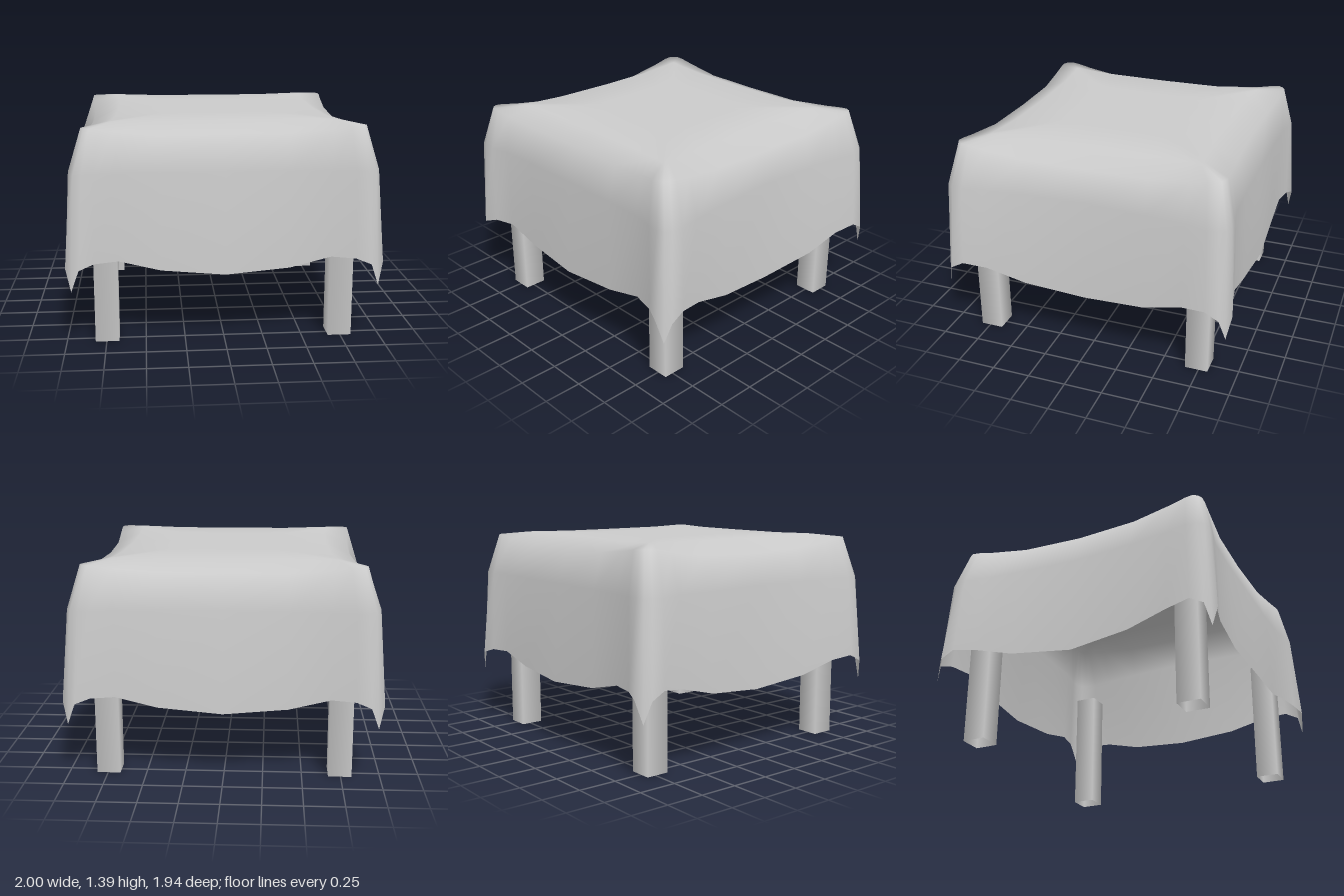
import * as THREE from 'three';

const grey = () => new THREE.MeshStandardMaterial({ color: 0xcccccc, side: THREE.DoubleSide });

// One quarter of each cloth ring: front middle, round the corner, to side middle [x, y, z]
const flat = [
  [0, 1.385, 0.66], [0.4, 1.385, 0.67], [0.63, 1.39, 0.69], [0.67, 1.39, 0.7], [0.69, 1.39, 0.7], [0.7, 1.39, 0.7],
  [0.7, 1.39, 0.69], [0.7, 1.39, 0.67], [0.69, 1.39, 0.63], [0.67, 1.385, 0.4], [0.66, 1.385, 0],
];
const edge = [
  [0, 1.325, 0.82], [0.4, 1.325, 0.83], [0.66, 1.35, 0.855], [0.77, 1.365, 0.865], [0.82, 1.37, 0.865], [0.85, 1.37, 0.85],
  [0.87, 1.37, 0.82], [0.87, 1.365, 0.77], [0.86, 1.345, 0.66], [0.84, 1.31, 0.4], [0.83, 1.3, 0],
];
const shoulder = [
  [0, 1.1, 0.88], [0.4, 1.1, 0.88], [0.66, 1.1, 0.89], [0.8, 1.1, 0.92], [0.87, 1.1, 0.925], [0.92, 1.1, 0.91],
  [0.945, 1.1, 0.87], [0.955, 1.1, 0.8], [0.93, 1.1, 0.66], [0.9, 1.1, 0.4], [0.88, 1.1, 0],
];
const hem = [
  [0, 0.46, 0.915], [0.4, 0.49, 0.895], [0.66, 0.555, 0.895], [0.81, 0.55, 0.93], [0.9, 0.52, 0.965], [0.95, 0.38, 0.945],
  [0.985, 0.52, 0.91], [0.985, 0.57, 0.82], [0.955, 0.55, 0.66], [0.935, 0.48, 0.4], [0.91, 0.44, 0],
];

// Mirror a quarter into a closed ring; the back hangs slightly wider
function fullRing(quarter, backShift) {
  const back = quarter.slice(0, -1).reverse().map(([x, y, z]) =>
    [x * (1 + 0.5 * backShift), y, -z - backShift * Math.min(1, (1 - x) / 0.3)]);
  const half = [...quarter, ...back];
  const other = half.slice(1, -1).reverse().map(([x, y, z]) => [-x, y, z]);
  return [...half, ...other];
}

function clothGeometry() {
  const inner = fullRing(flat, 0).map(([x, y, z]) => [x * 0.55, 1.39, z * 0.55]);
  const rings = [inner, fullRing(flat, 0), fullRing(edge, 0.01), fullRing(shoulder, 0.02), fullRing(hem, 0.03)];
  const n = inner.length;
  const points = [[0, 1.39, 0], ...rings.flat()];
  const index = [];
  for (let j = 0; j < n; j++) {
    const k = (j + 1) % n;
    index.push(0, 1 + j, 1 + k);
    for (let i = 0; i < rings.length - 1; i++) {
      const a = 1 + i * n + j, b = 1 + i * n + k;
      index.push(a, a + n, b, b, a + n, b + n);
    }
  }
  const geometry = new THREE.BufferGeometry();
  geometry.setAttribute('position', new THREE.Float32BufferAttribute(points.flat(), 3));
  geometry.setIndex(index);
  geometry.computeVertexNormals();
  return geometry;
}

export function createModel() {
  const model = new THREE.Group();
  model.name = 'clothCoveredTable';

  // Draped cloth
  const cloth = new THREE.Mesh(clothGeometry(), grey());
  cloth.name = 'tablecloth';
  model.add(cloth);

  // Four hollow square legs
  const height = 0.85;
  const legGeometry = new THREE.CylinderGeometry(0.106, 0.106, height, 4, 1, true, Math.PI / 4);
  for (const [sz, end] of [[1, 'front'], [-1, 'back']]) {
    for (const [sx, side] of [[1, 'Left'], [-1, 'Right']]) {
      const leg = new THREE.Mesh(legGeometry, grey());
      leg.name = `${end}${side}Leg`;
      leg.position.set(sx * 0.745, height / 2, sz * 0.735);
      model.add(leg);
    }
  }
  return model;
}
